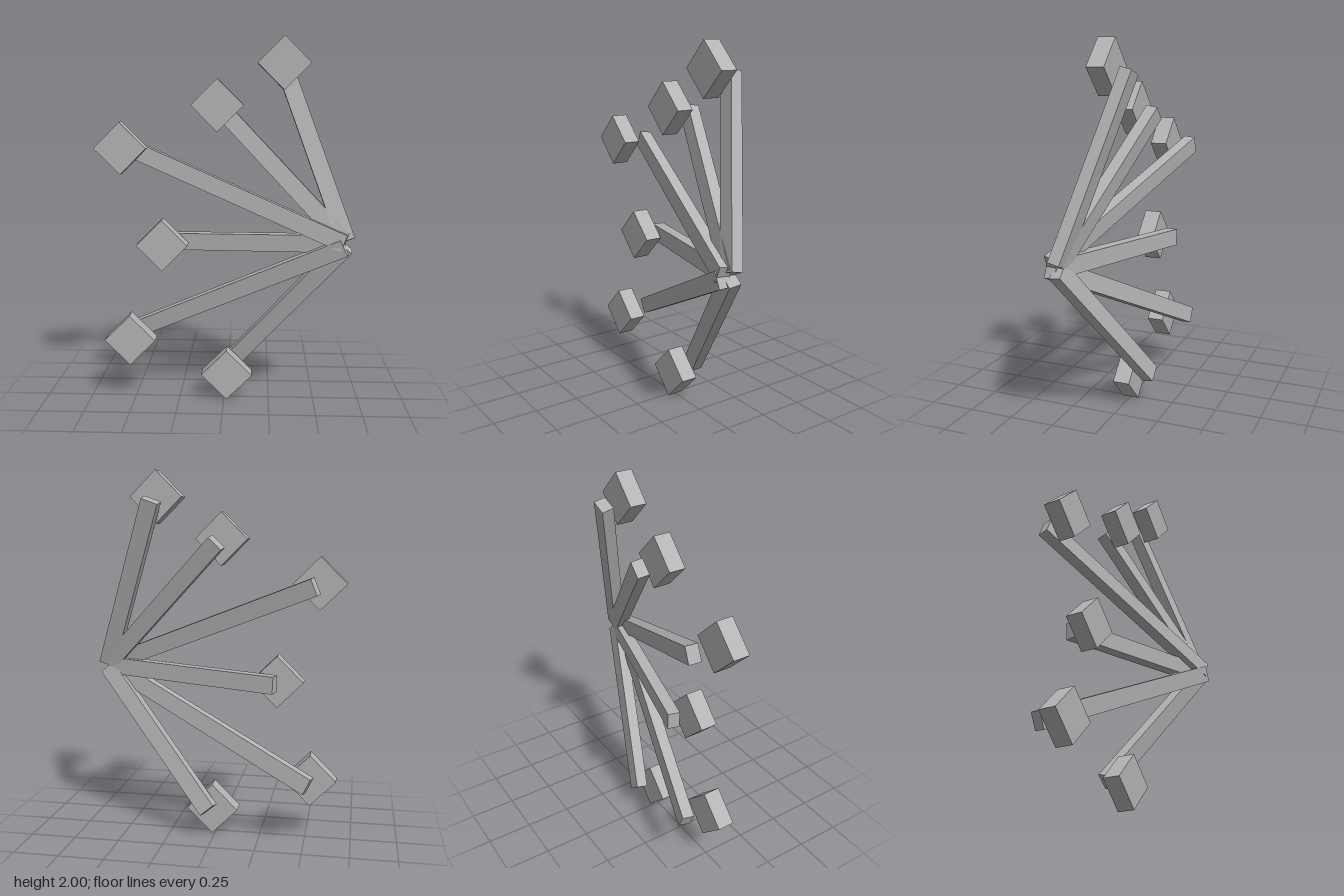
import * as THREE from 'three';

export function createModel() {
  const model = new THREE.Group();
  model.name = 'fan';
  const grey = new THREE.MeshStandardMaterial({ color: 0xb4b4b4 });
  grey.name = 'grey';

  // Each spoke: block centre, then bar outer end and hub end in the xy plane
  const spokes = [
    { block: [0.32, 1.86], outer: [0.325, 1.84], hub: [0.654, 0.93] },
    { block: [-0.035, 1.64], outer: [-0.023, 1.622], hub: [0.648, 0.925] },
    { block: [-0.56, 1.41], outer: [-0.542, 1.403], hub: [0.642, 0.924] },
    { block: [-0.34, 0.88], outer: [-0.335, 0.88], hub: [0.635, 0.918] },
    { block: [-0.525, 0.34], outer: [-0.523, 0.347], hub: [0.642, 0.906] },
    { block: [0.015, 0.145], outer: [0.022, 0.165], hub: [0.65, 0.903] },
  ];
  const slope = 0.247; // how far bars lean backwards per unit of run
  const blockGeometry = new THREE.BoxGeometry(0.2, 0.2, 0.094);

  spokes.forEach(({ block, outer, hub }, i) => {
    // Diamond-turned end block
    const blockMesh = new THREE.Mesh(blockGeometry, grey);
    blockMesh.name = `endBlock${i + 1}`;
    blockMesh.position.set(block[0], block[1], 0);
    blockMesh.rotation.z = Math.PI / 4;
    model.add(blockMesh);

    // Leaning bar, running forward to the hub and behind the block
    const dx = hub[0] - outer[0], dy = hub[1] - outer[1];
    const run = Math.hypot(dx, dy);
    const bar = new THREE.Mesh(
      new THREE.BoxGeometry(run * Math.hypot(1, slope), 0.093, 0.065), grey);
    bar.name = `bar${i + 1}`;
    bar.position.set((hub[0] + outer[0]) / 2, (hub[1] + outer[1]) / 2, 0);
    bar.rotation.set(0, -Math.atan(slope), Math.atan2(dy, dx), 'ZYX');
    model.add(bar);
  });
  return model;
}
